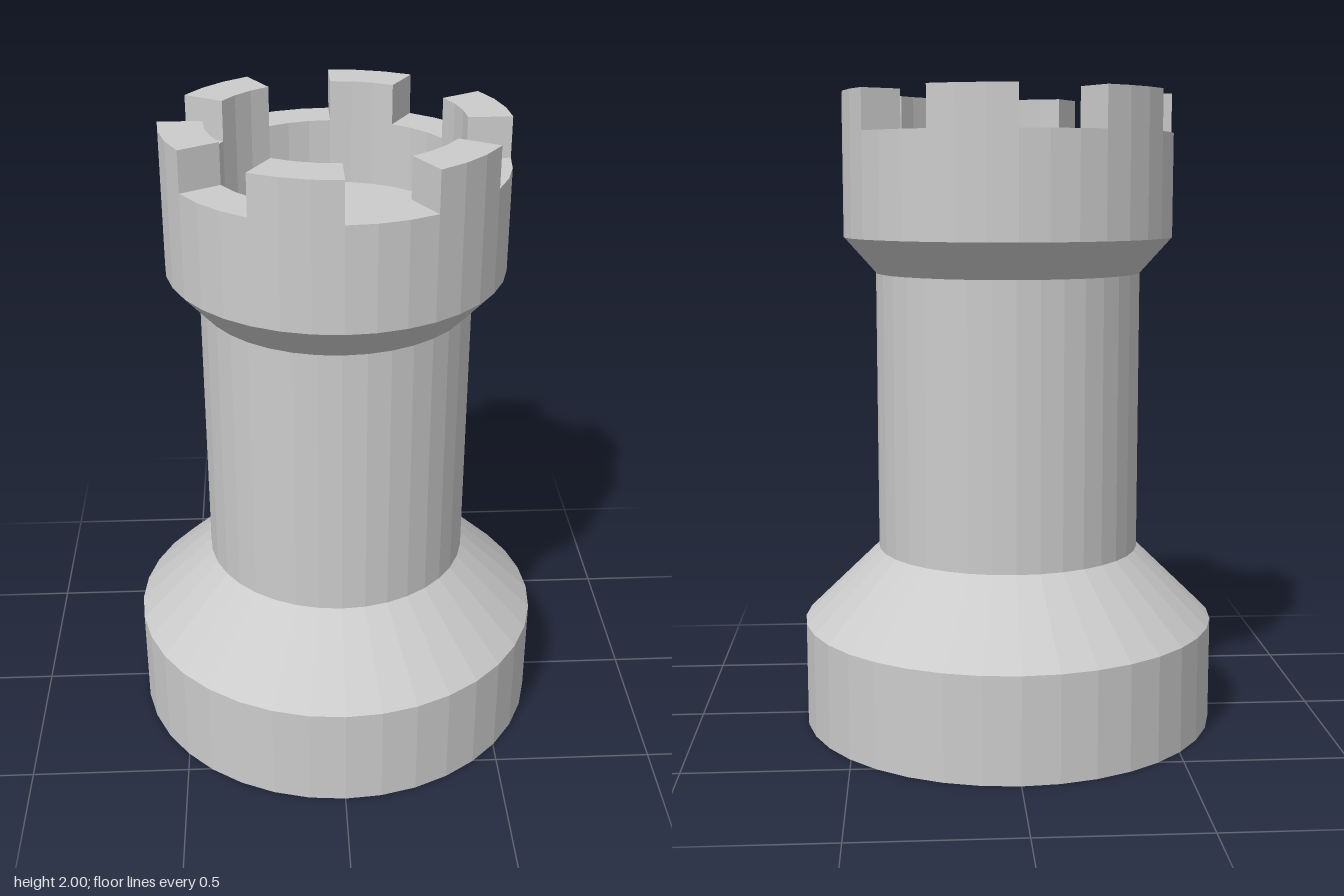
import * as THREE from 'three';

const SIDES = 36;
const HEAD_R = 0.517, WELL_R = 0.385, RIM_Y = 1.875, TOP_Y = 2;

const material = new THREE.MeshStandardMaterial({ color: 0xcccccc, flatShading: true });

// Faceted ring of walls turned around the y axis from [radius, height] pairs
function turned(name, profile) {
  const points = profile.map(([r, y]) => new THREE.Vector2(r, y));
  const mesh = new THREE.Mesh(new THREE.LatheGeometry(points, SIDES), material);
  mesh.name = name;
  return mesh;
}

// One 30 degree block of the battlement, with facets matching the head
function merlonGeometry() {
  const steps = [0, 1, 2, 3].map((i) => (i * 2 * Math.PI) / SIDES);
  const at = (r, a) => new THREE.Vector2(r * Math.cos(a), r * Math.sin(a));
  const outline = [
    ...steps.map((a) => at(HEAD_R, a)),
    ...steps.slice().reverse().map((a) => at(WELL_R, a)),
  ];
  return new THREE.ExtrudeGeometry(new THREE.Shape(outline), {
    depth: TOP_Y - RIM_Y,
    bevelEnabled: false,
  }).rotateX(-Math.PI / 2);
}

export function createModel() {
  const model = new THREE.Group();
  model.name = 'chessRook';

  // Foot with sloped shoulder, straight shaft, flared head with a sunken well
  model.add(
    turned('base', [[0, 0], [0.657, 0], [0.657, 0.33], [0.417, 0.563]]),
    turned('shaft', [[0.417, 0.563], [0.417, 1.443]]),
    turned('head', [
      [0.417, 1.443], [HEAD_R, 1.555], [HEAD_R, RIM_Y],
      [WELL_R, RIM_Y], [WELL_R, 1.67], [0, 1.67],
    ]),
  );

  // Six merlons, alternating with equal gaps
  const battlement = new THREE.Group();
  battlement.name = 'battlement';
  const geometry = merlonGeometry();
  for (let i = 0; i < 6; i++) {
    const merlon = new THREE.Mesh(geometry, material);
    merlon.name = `merlon${i + 1}`;
    merlon.position.y = RIM_Y;
    merlon.rotation.y = (i * Math.PI) / 3;
    battlement.add(merlon);
  }
  model.add(battlement);

  return model;
}
